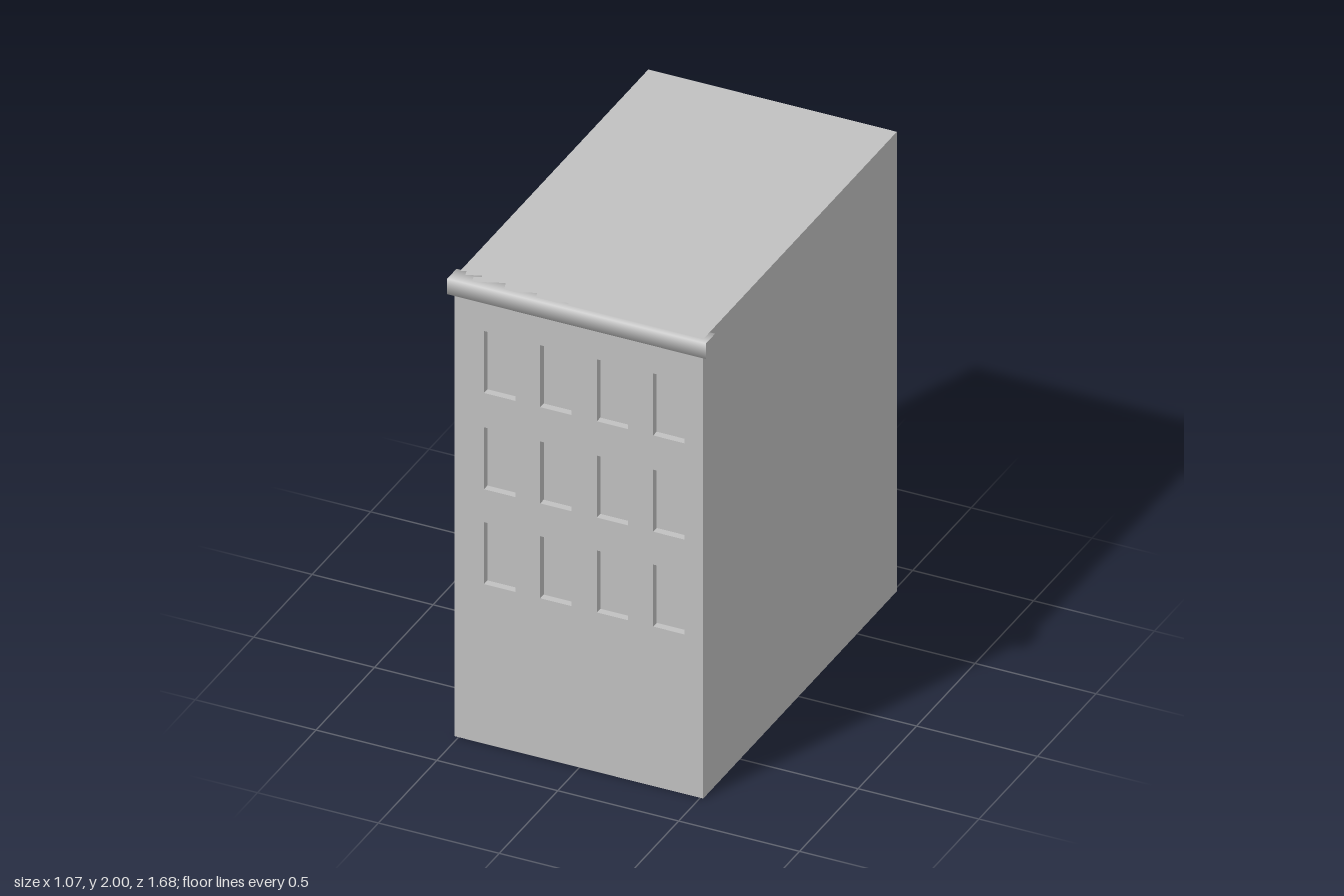
import * as THREE from 'three';

const wallGrey = new THREE.MeshStandardMaterial({ color: 0xc0c0c0, side: THREE.DoubleSide });
wallGrey.name = 'wall grey';

// Body extents
const X0 = -0.516, X1 = 0.512, Z0 = -0.84, Z1 = 0.815, H = 2;
// Window grid
const WIN_W = 0.13, WIN_H = 0.27, WIN_D = 0.03;
const COLUMNS = [-0.33, -0.097, 0.137, 0.37];
const ROWS = [0.829, 1.242, 1.661];

// Box shell missing some faces (order: +x, -x, +y, -y, +z, -z)
function openBox(w, h, d, missing) {
  const geo = new THREE.BoxGeometry(w, h, d);
  geo.setIndex(Array.from(geo.index.array).filter((v, i) => !missing.includes(Math.floor(i / 6))));
  geo.clearGroups();
  return geo;
}

function addMesh(parent, name, geo, x = 0, y = 0, z = 0) {
  const mesh = new THREE.Mesh(geo, wallGrey);
  mesh.name = name;
  mesh.position.set(x, y, z);
  parent.add(mesh);
  return mesh;
}

function rectangle(path, x0, y0, x1, y1) {
  path.moveTo(x0, y0).lineTo(x1, y0).lineTo(x1, y1).lineTo(x0, y1).closePath();
  return path;
}

export function createModel() {
  const building = new THREE.Group();
  building.name = 'building';

  // Side walls, back wall and roof; hollow with an open bottom
  addMesh(building, 'wallsAndRoof', openBox(X1 - X0, H, Z1 - Z0, [3, 4]),
    (X0 + X1) / 2, H / 2, (Z0 + Z1) / 2);

  // Front wall pierced by the window openings, each backed by a shallow recess
  const front = rectangle(new THREE.Shape(), X0, 0, X1, H);
  const windows = new THREE.Group();
  windows.name = 'windows';
  building.add(windows);
  for (const y of ROWS) {
    for (const x of COLUMNS) {
      front.holes.push(rectangle(new THREE.Path(),
        x - WIN_W / 2, y - WIN_H / 2, x + WIN_W / 2, y + WIN_H / 2));
      addMesh(windows, 'windowRecess', openBox(WIN_W, WIN_H, WIN_D, [4]), x, y, Z1 - WIN_D / 2);
    }
  }
  addMesh(building, 'frontWall', new THREE.ShapeGeometry(front), 0, 0, Z1);

  // Cornice: square bar with softly shaded long faces and flat ends
  const bar = new THREE.CylinderGeometry(Math.SQRT1_2, Math.SQRT1_2, 1, 4, 1, false, Math.PI / 4);
  bar.rotateZ(Math.PI / 2).scale(1.07, 0.067, 0.08);
  addMesh(building, 'cornice', bar, 0, H - 0.0335, 0.8);

  return building;
}
